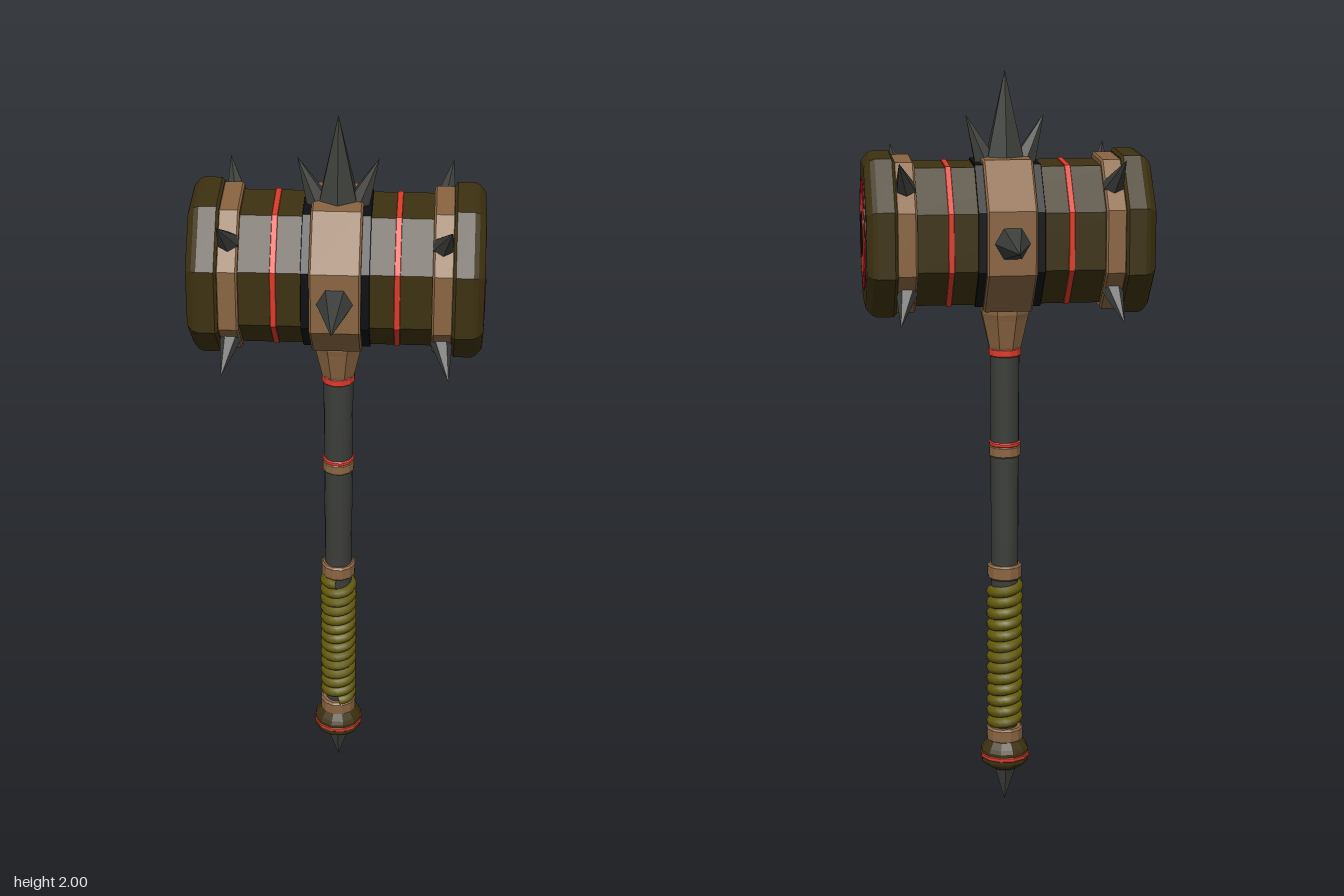
import * as THREE from 'three';

const mat = (name, color) => {
  const m = new THREE.MeshStandardMaterial({ color });
  m.name = name;
  return m;
};

export function createModel() {
  const olive = mat('dark olive', 0x3d3111);
  const leather = mat('brown leather', 0x8a6542);
  const red = mat('bright red', 0xdc3b2a);
  const crimson = mat('crimson', 0x960f24);
  const black = mat('black', 0x0e0f10);
  const iron = mat('iron', 0x3c3e3a);
  const cord = mat('grip cord', 0x635a0a);

  const model = new THREE.Group();
  model.name = 'warHammer';
  const head = new THREE.Group();
  head.name = 'head';
  head.position.y = 1.585;
  const handle = new THREE.Group();
  handle.name = 'handle';
  model.add(head, handle);

  const add = (parent, name, geo, material) => {
    const mesh = new THREE.Mesh(geo, material);
    mesh.name = name;
    parent.add(mesh);
    return mesh;
  };
  const flat = (geo) => {
    const g = geo.toNonIndexed();
    g.computeVertexNormals();
    return g;
  };

  // Faceted solid of revolution; radii are measured to the flats
  const turned = (profile, sides) => {
    const k = 1 / Math.cos(Math.PI / sides);
    const pts = profile.map(([r, y]) => new THREE.Vector2(r * k, y));
    return flat(new THREE.LatheGeometry(pts, sides, Math.PI / sides));
  };
  // Bevelled ring or drum from a to b
  const drum = (r, a, b, bevel, sides = 8) => turned(
    [[0, a], [r - bevel, a], [r, a + bevel], [r, b - bevel], [r - bevel, b], [0, b]], sides);
  const alongX = (geo) => geo.rotateZ(-Math.PI / 2);

  // Six-sided spike from base to tip
  const up = new THREE.Vector3(0, 1, 0);
  const spike = (parent, name, base, tip, r, roll = 0) => {
    const a = new THREE.Vector3(...base), d = new THREE.Vector3(...tip).sub(a);
    const len = d.length();
    const geo = flat(new THREE.ConeGeometry(r, len, 6).rotateY(roll).translate(0, len / 2, 0));
    const mesh = add(parent, name, geo, iron);
    mesh.position.copy(a);
    mesh.quaternion.setFromUnitVectors(up, d.normalize());
  };

  // Hammer head core and middle bands
  add(head, 'headBody', alongX(drum(0.177, -0.3, 0.3, 0.002)), olive);
  add(head, 'blackBand', alongX(drum(0.183, -0.085, 0.085, 0.001)), black);
  add(head, 'centreBand', alongX(drum(0.196, -0.064, 0.064, 0.005)), leather);

  // Both ends of the head
  for (const side of [1, -1]) {
    const end = new THREE.Group();
    end.name = side > 0 ? 'leftEnd' : 'rightEnd';
    if (side < 0) end.rotation.y = Math.PI;
    head.add(end);
    add(end, 'redStripe', alongX(drum(0.18, 0.145, 0.16, 0.001)), red);
    add(end, 'sideBand', alongX(drum(0.193, 0.238, 0.292, 0.005)), leather);
    add(end, 'cap', alongX(turned([[0, 0.288], [0.196, 0.288], [0.203, 0.295],
      [0.203, 0.338], [0.198, 0.35], [0.184, 0.363], [0.178, 0.366], [0, 0.366]], 8)), olive);
    // Target rings on the striking face
    [['outerRing', 0.145, 0.368, crimson], ['innerRing', 0.11, 0.3695, red],
      ['bullseye', 0.058, 0.371, black]].forEach(([name, r, x, m]) => {
      add(end, name, alongX(new THREE.CylinderGeometry(r, r, 0.006, 32).translate(0, x - 0.003, 0)), m);
    });
    // Small spikes on the diagonal flats
    for (const y of [1, -1]) for (const z of [1, -1]) {
      spike(end, 'cornerSpike', [0.263, y * 0.13, z * 0.13], [0.284, y * 0.207, z * 0.207], 0.029);
    }
    // Long front or back spike, and the pair beside the top spike
    spike(head, side > 0 ? 'frontSpike' : 'backSpike',
      [0, 0, side * 0.185], [0, 0, side * 0.353], 0.048, Math.PI / 2);
    spike(head, 'flankSpike', [side * 0.045, 0.17, 0], [side * 0.101, 0.303, 0], 0.035);
  }
  spike(head, 'topSpike', [0, 0.18, 0], [0, 0.415, 0], 0.056);

  // Neck socket and shaft
  add(handle, 'neck', turned([[0, 1.275], [0.039, 1.275], [0.042, 1.285], [0.058, 1.36],
    [0.062, 1.375], [0.062, 1.41], [0, 1.41]], 8), leather);
  add(handle, 'shaft', new THREE.CylinderGeometry(0.039, 0.034, 1.15, 16).translate(0, 0.705, 0), iron);
  add(handle, 'neckRing', drum(0.042, 1.258, 1.28, 0.003, 12), red);
  add(handle, 'middleRing', drum(0.041, 0.985, 1.016, 0.004, 12), leather);
  add(handle, 'middleRedRing', drum(0.041, 1.014, 1.027, 0.003, 12), red);

  // Grip with wound cord
  add(handle, 'gripTopRing', drum(0.045, 0.645, 0.686, 0.005, 12), leather);
  add(handle, 'gripBottomRing', drum(0.048, 0.18, 0.22, 0.005, 12), leather);
  const turns = 13, steps = turns * 8, path = [];
  for (let i = 0; i <= steps; i++) {
    const t = i / steps, a = t * turns * Math.PI * 2;
    path.push(new THREE.Vector3(0.035 * Math.sin(a), 0.225 + 0.405 * t, 0.035 * Math.cos(a)));
  }
  add(handle, 'gripCord',
    new THREE.TubeGeometry(new THREE.CatmullRomCurve3(path), turns * 18, 0.0155, 8), cord);

  // Pommel
  add(handle, 'pommel', turned([[0, 0.1], [0.036, 0.1], [0.06, 0.118], [0.063, 0.125],
    [0.063, 0.155], [0.058, 0.165], [0.046, 0.183], [0, 0.183]], 12), olive);
  add(handle, 'pommelStripe', drum(0.0655, 0.134, 0.146, 0.002, 12), red);
  spike(handle, 'pommelSpike', [0, 0.115, 0], [0, 0, 0], 0.037);

  return model;
}
